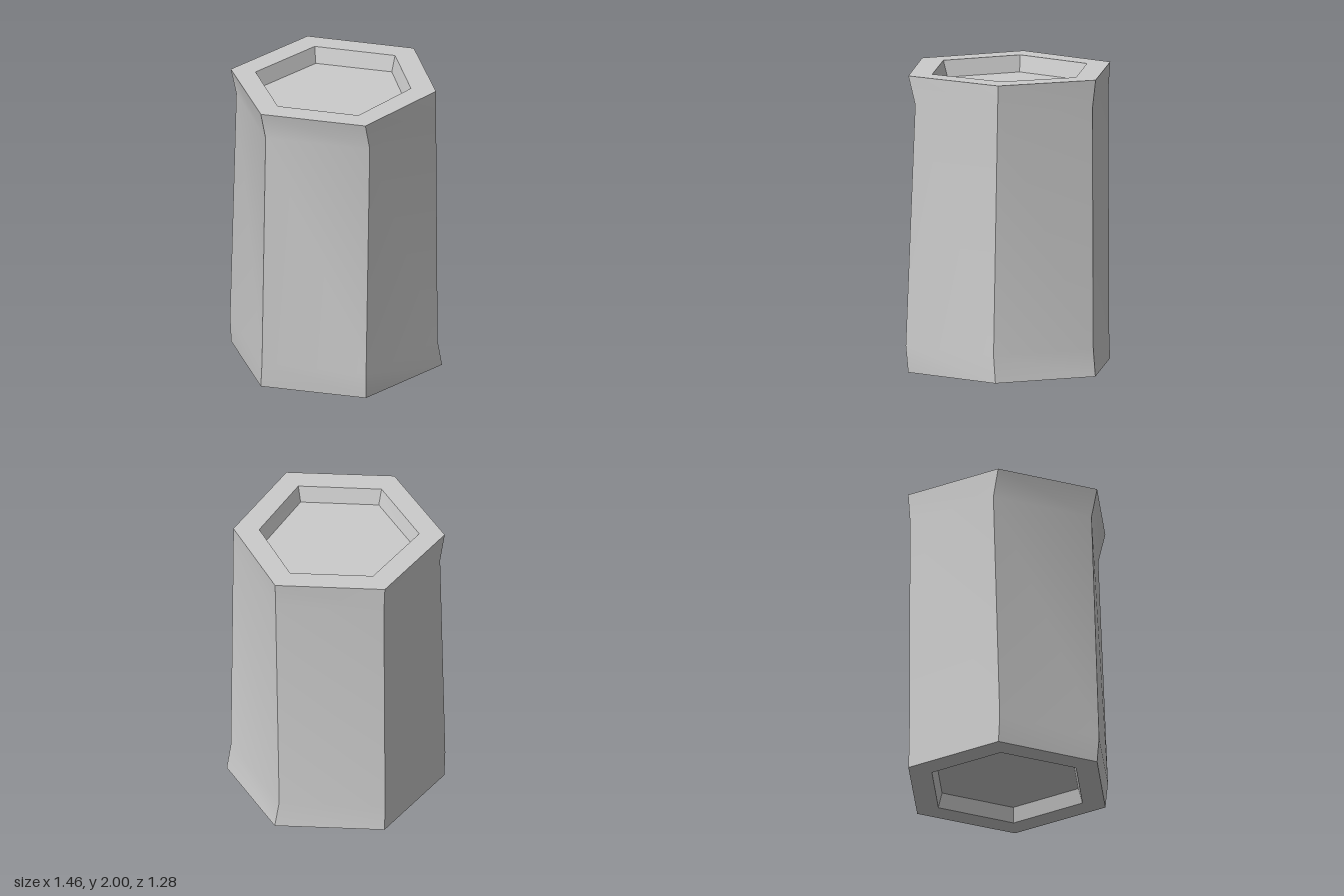
import * as THREE from 'three';
import { toCreasedNormals } from 'three/addons/utils/BufferGeometryUtils.js';

// Regular six-sided outline as [x, z] corners, starting at +x and turning towards +z
const hexagon = (r) => Array.from({ length: 6 }, (_, i) => {
  const a = (i * Math.PI) / 3;
  return [r * Math.cos(a), r * Math.sin(a)];
});

// Cross-sections of the worn column, from the bottom recess up to the top recess
const sections = [
  { y: 0.1, corners: hexagon(0.525) }, // floor of the bottom recess
  { y: 0, corners: hexagon(0.555) }, // inner edge of the bottom rim
  { y: 0, corners: [[0.725, 0], [0.362, 0.62], [-0.364, 0.625], [-0.725, 0], [-0.364, -0.635], [0.362, -0.635]] },
  { y: 0.18, corners: [[0.695, -0.016], [0.335, 0.605], [-0.375, 0.638], [-0.73, 0.016], [-0.375, -0.635], [0.355, -0.635]] },
  { y: 1.81, corners: [[0.705, 0.006], [0.348, 0.578], [-0.315, 0.613], [-0.68, 0], [-0.32, -0.63], [0.355, -0.626]] },
  { y: 2, corners: [[0.725, -0.003], [0.35, 0.575], [-0.365, 0.622], [-0.725, 0], [-0.364, -0.638], [0.362, -0.638]] },
  { y: 2, corners: [[0.555, -0.01], [0.265, 0.425], [-0.28, 0.472], [-0.555, -0.01], [-0.28, -0.49], [0.28, -0.49]] },
  { y: 1.89, corners: [[0.524, -0.01], [0.248, 0.396], [-0.263, 0.442], [-0.521, -0.01], [-0.263, -0.463], [0.263, -0.463]] },
];

function loftGeometry(rings) {
  const positions = [];
  const indices = [];
  rings.forEach(({ y, corners }) => corners.forEach(([x, z]) => positions.push(x, y, z)));
  const last = (rings.length - 1) * 6;
  // Walls and rims between neighbouring sections
  for (let r = 0; r < rings.length - 1; r++) {
    for (let i = 0; i < 6; i++) {
      const a = r * 6 + i;
      const b = r * 6 + ((i + 1) % 6);
      indices.push(a, a + 6, b + 6, a, b + 6, b);
    }
  }
  // Flat floors closing the two recesses
  for (let i = 1; i < 5; i++) {
    indices.push(0, i, i + 1);
    indices.push(last, last + i + 1, last + i);
  }
  const geometry = new THREE.BufferGeometry();
  geometry.setAttribute('position', new THREE.Float32BufferAttribute(positions, 3));
  geometry.setIndex(indices);
  return toCreasedNormals(geometry, 0.5);
}

export function createModel() {
  const group = new THREE.Group();
  group.name = 'hexagonalColumn';
  const column = new THREE.Mesh(loftGeometry(sections), new THREE.MeshStandardMaterial({ color: 0xcccccc }));
  column.name = 'column';
  group.add(column);
  return group;
}
